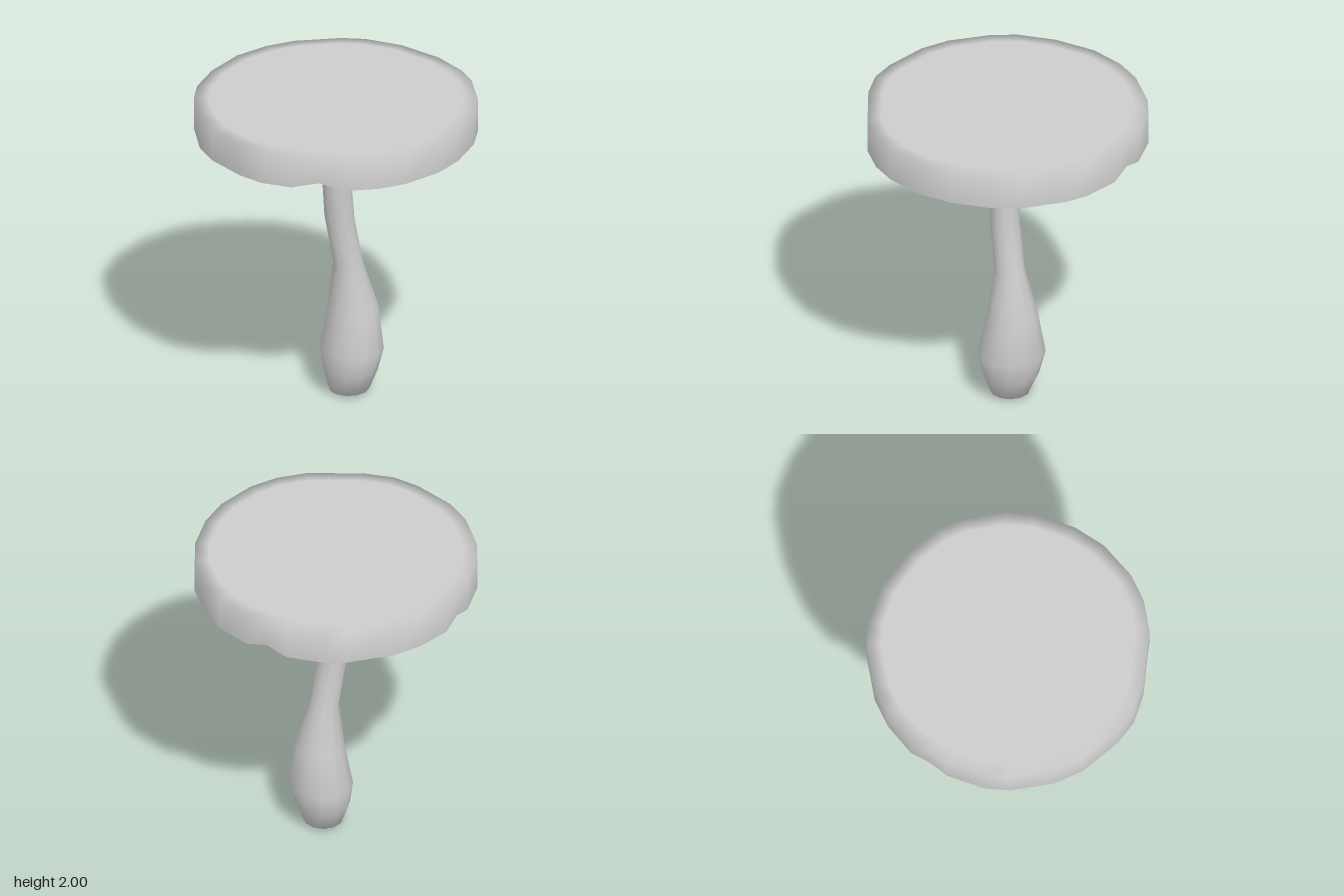
import * as THREE from 'three';

// Skin between rings of equal point count, listed from bottom/inside to top/outside
function loft(rings) {
  const n = rings[0].length;
  const index = [];
  for (let r = 0; r < rings.length - 1; r++) {
    for (let j = 0; j < n; j++) {
      const a = r * n + j, b = r * n + (j + 1) % n;
      index.push(a, a + n, b, b, a + n, b + n);
    }
  }
  const geometry = new THREE.BufferGeometry();
  geometry.setAttribute('position', new THREE.Float32BufferAttribute(rings.flat(2), 3));
  geometry.setIndex(index);
  geometry.computeVertexNormals();
  return geometry;
}

// Irregular cap outline (x, z), clockwise from the back
const OUTLINE = [
  [-0.10, -0.875], [0.09, -0.875], [0.37, -0.80], [0.50, -0.73], [0.67, -0.56], [0.81, -0.31],
  [0.87, -0.08], [0.87, 0.07], [0.80, 0.34], [0.70, 0.51], [0.52, 0.69], [0.34, 0.80],
  [0.09, 0.87], [-0.09, 0.87], [-0.28, 0.82], [-0.58, 0.64], [-0.72, 0.51], [-0.80, 0.36],
  [-0.875, 0.09], [-0.875, -0.10], [-0.80, -0.37], [-0.72, -0.51], [-0.55, -0.68], [-0.32, -0.82],
];
const NOTCHED_EDGES = [4, 14, 22];

function createCap(material) {
  // Add a raised midpoint on each notched edge
  const points = [];
  OUTLINE.forEach(([x, z], i) => {
    points.push([x, z, 0]);
    if (NOTCHED_EDGES.includes(i)) {
      const [nx, nz] = OUTLINE[i + 1];
      points.push([(x + nx) / 2, (z + nz) / 2, 0.04]);
    }
  });
  const ring = (scale, y, notch = 0) => points.map(([x, z, h]) => [x * scale, y + h * notch, z * scale]);

  const cap = new THREE.Group();
  cap.name = 'cap';
  const parts = {
    capUnderside: [ring(0, 1.97), ring(0.6, 1.965), ring(0.92, 1.93), ring(0.96, 1.78, 1)],
    capRim: [ring(0.96, 1.78, 1), ring(1, 1.78, 1)],
    capTop: [ring(1, 1.78, 1), ring(1, 1.995), ring(0.9, 2), ring(0, 2)],
  };
  for (const [name, rings] of Object.entries(parts)) {
    const mesh = new THREE.Mesh(loft(rings), material);
    mesh.name = name;
    cap.add(mesh);
  }
  return cap;
}

function createStem(material) {
  // Sections: height, centre x, radius x, radius z
  const sections = [
    [0, 0.07, 0, 0], [0.02, 0.075, 0.125, 0.125], [0.15, 0.083, 0.168, 0.18],
    [0.3, 0.095, 0.195, 0.215], [0.58, 0.105, 0.157, 0.157], [0.88, 0.07, 0.093, 0.093],
    [1.2, 0.012, 0.093, 0.092], [1.52, -0.01, 0.09, 0.09], [1.78, -0.006, 0.085, 0.084],
    [1.96, 0, 0.05, 0.05], [1.99, 0, 0, 0],
  ];
  const sides = 12;
  const rings = sections.map(([y, cx, rx, rz]) => Array.from({ length: sides }, (_, j) => {
    const a = (j / sides) * Math.PI * 2;
    return [cx + Math.sin(a) * rx, y, 0.01 - Math.cos(a) * rz];
  }));
  const stem = new THREE.Mesh(loft(rings), material);
  stem.name = 'stem';
  return stem;
}

export function createModel() {
  const material = new THREE.MeshStandardMaterial({ color: 0xcccccc });
  material.name = 'light grey';
  const model = new THREE.Group();
  model.name = 'mushroom';
  model.add(createStem(material), createCap(material));
  return model;
}
